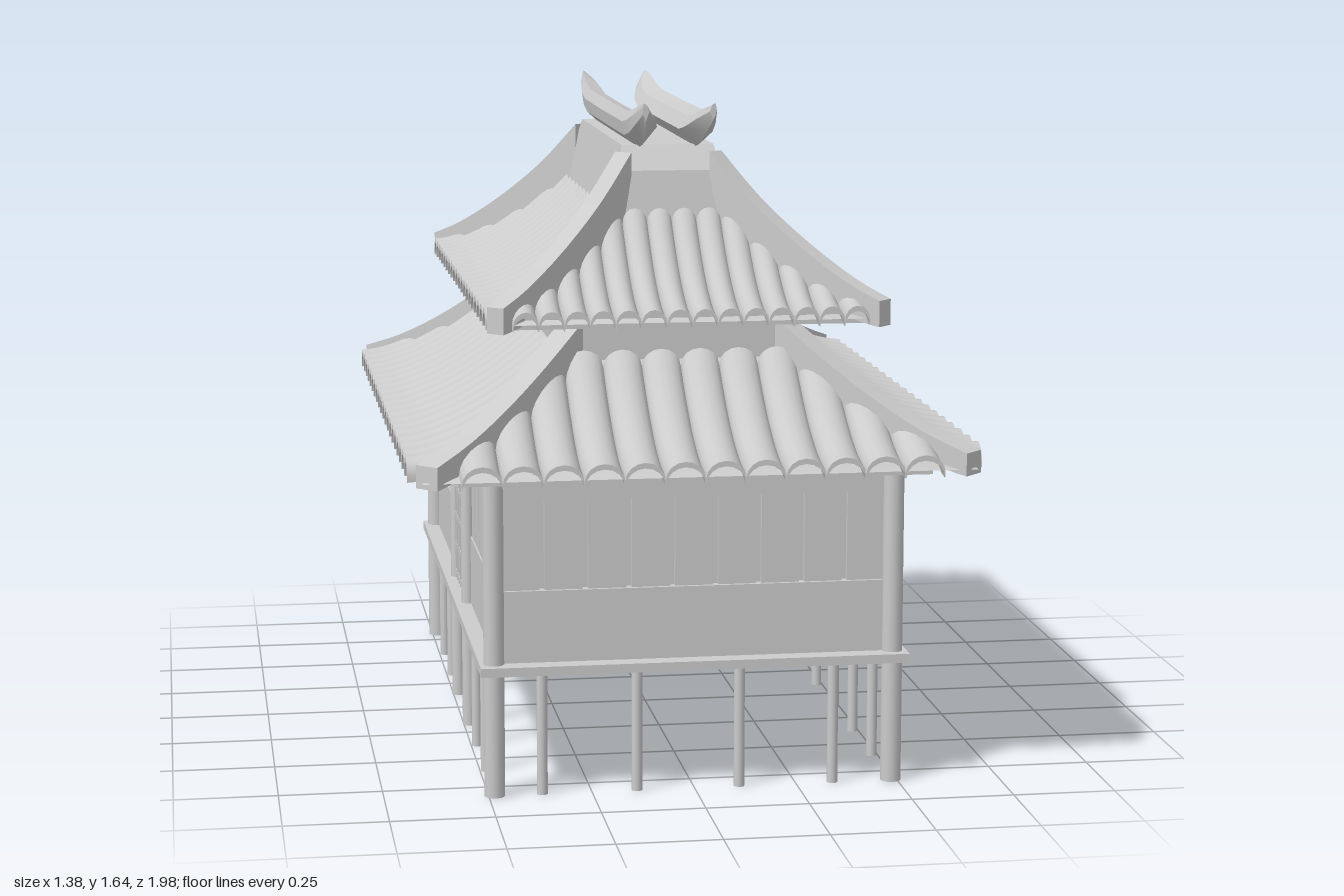
import * as THREE from 'three';
import { mergeGeometries, toCreasedNormals } from 'three/addons/utils/BufferGeometryUtils.js';

const material = new THREE.MeshStandardMaterial({ color: 0xcccccc, side: THREE.DoubleSide });
const OFFSET = 0.3; // the plan is this much deeper than wide, per side
const SIGNS = [-1, 1];

// Closed solid through equal rings of points (even count); ends are capped in strips.
function loft(rings, crease = 0.6) {
  const tris = [];
  const n = rings[0].length;
  const quad = (a, b, c, d) => tris.push([a, b, c], [a, c, d]);
  for (let i = 0; i < rings.length - 1; i++) {
    for (let j = 0; j < n; j++) {
      const k = (j + 1) % n;
      quad(rings[i][j], rings[i][k], rings[i + 1][k], rings[i + 1][j]);
    }
  }
  const last = rings[rings.length - 1];
  for (let j = 0; j < n / 2 - 1; j++) {
    quad(rings[0][j], rings[0][n - 1 - j], rings[0][n - 2 - j], rings[0][j + 1]);
    quad(last[j], last[j + 1], last[n - 2 - j], last[n - 1 - j]);
  }
  // turn the solid outward when its signed volume is negative
  const cross = new THREE.Vector3();
  const volume = tris.reduce((v, [a, b, c]) => v + a.dot(cross.crossVectors(b, c)), 0);
  const points = tris.flatMap(([a, b, c]) => (volume < 0 ? [a, c, b] : [a, b, c]));
  return toCreasedNormals(new THREE.BufferGeometry().setFromPoints(points), crease);
}

const rect = (x, y, z) => [[-x, -z], [x, -z], [x, z], [-x, z]].map(([a, b]) => new THREE.Vector3(a, y, b));

export function createModel() {
  const model = new THREE.Group();

  function add(parent, name, geometry, x = 0, y = 0, z = 0) {
    const mesh = new THREE.Mesh(geometry, material);
    mesh.name = name;
    mesh.position.set(x, y, z);
    parent.add(mesh);
    return mesh;
  }
  function group(name) {
    const g = new THREE.Group();
    g.name = name;
    model.add(g);
    return g;
  }
  const box = (parent, name, w, h, d, x, y, z) => add(parent, name, new THREE.BoxGeometry(w, h, d), x, y, z);
  const post = (parent, name, r, h, x, z) => add(parent, name, new THREE.CylinderGeometry(r, r, h, 14), x, h / 2, z);

  // Stilts and floor
  const stilts = group('stilts');
  for (const s of SIGNS) {
    for (const t of SIGNS) post(stilts, 'cornerPost', 0.025, 0.78, s * 0.485, t * 0.825);
    for (const x of [-0.37, -0.14, 0.11, 0.34]) post(stilts, 'endStilt', 0.013, 0.31, x, s * 0.825);
    for (const z of [0.607, 0.375, -0.345, -0.58]) post(stilts, 'sideStilt', 0.013, 0.31, s * 0.485, z);
  }
  for (const z of [0.14, -0.1]) post(stilts, 'sideStilt', 0.013, 0.31, 0.485, z);
  box(model, 'floor', 1.04, 0.022, 1.74, 0, 0.314, 0);

  // Walls: a recessed core, a solid lower wall and a head beam
  const walls = group('walls');
  box(walls, 'wallCore', 0.92, 0.46, 1.6, 0, 0.55, 0);
  box(walls, 'lowerWall', 0.96, 0.18, 1.65, 0, 0.41, 0);
  box(walls, 'headBeam', 0.96, 0.06, 1.65, 0, 0.75, 0);
  for (const s of SIGNS) {
    for (let i = 0; i < 9; i++) {
      box(walls, 'endShutter', 0.092, 0.22, 0.02, (i - 4) * 0.105, 0.61, s * 0.806);
    }
    for (let i = 0; i < 15; i++) {
      const z = (i - 7) * 0.108;
      if (s < 0 && z > -0.16 && z < 0.19) continue;
      box(walls, 'sideShutter', 0.02, 0.22, 0.096, s * 0.466, 0.61, z);
    }
  }

  // Lattice door between two tall posts on one long side
  const door = group('door');
  for (const z of [0.17, -0.14]) post(door, 'doorPost', 0.018, 0.78, -0.485, z);
  box(door, 'doorPanel', 0.02, 0.42, 0.28, -0.472, 0.54, 0.015);
  for (let i = 0; i < 7; i++) box(door, 'doorStile', 0.014, 0.42, 0.012, -0.486, 0.54, 0.015 + (i - 3) * 0.043);
  for (let i = 0; i < 6; i++) box(door, 'doorRail', 0.014, 0.012, 0.28, -0.486, 0.345 + i * 0.078, 0.015);

  // One hipped roof tier with barrel tiles and hip ridges
  function roofTier(name, o) {
    const tier = group(name);
    const height = (p) => o.y0 + (o.y1 - o.y0) * Math.pow(Math.max(0, (o.eave - p) / (o.eave - o.top)), o.curve);

    // solid roof bed under the tiles
    const bed = [];
    for (let i = 0; i <= 10; i++) {
      const p = THREE.MathUtils.lerp(o.eave - 0.03, o.top - 0.03, i / 10);
      bed.push(rect(p, height(p) - 0.004, p + OFFSET));
    }
    add(tier, 'roofBed', loft(bed));

    // soffit plate
    box(tier, 'soffit', o.soffit[0] * 2, 0.035, o.soffit[1] * 2, 0, o.soffit[2], 0);

    // arched tiles, each running up until it meets the top line or the hip
    const arch = [];
    for (let i = 0; i <= 8; i++) {
      const a = (Math.PI * i) / 8;
      arch.push([-Math.cos(a) / 2, Math.sin(a) * o.arch]);
    }
    const section = [...arch, ...arch.map(([u, h]) => [u * 0.98, h - 0.013]).reverse()];
    const side = (count, half, extra, out) => {
      const width = (2 * half) / count;
      const tiles = [];
      for (let c = 0; c < count; c++) {
        const mid = -half + (c + 0.5) * width;
        const rings = [];
        for (let i = 0; i <= 9; i++) {
          rings.push(section.map(([u, h]) => {
            const lateral = mid + u * width;
            const end = Math.max(o.top, Math.abs(lateral) - out);
            const p = THREE.MathUtils.lerp(o.eave, Math.min(end, o.eave - 0.03), i / 9);
            return new THREE.Vector3(lateral, height(p) + h, p + extra);
          }));
        }
        tiles.push(loft(rings));
      }
      return mergeGeometries(tiles);
    };
    const endTiles = side(o.endCount, o.endHalf, OFFSET, 0);
    const sideTiles = side(o.sideCount, o.sideHalf, 0, OFFSET);
    add(tier, 'frontTiles', endTiles);
    add(tier, 'backTiles', endTiles).rotation.y = Math.PI;
    add(tier, 'leftTiles', sideTiles).rotation.y = Math.PI / 2;
    add(tier, 'rightTiles', sideTiles).rotation.y = -Math.PI / 2;

    // hip ridges along the four diagonals
    const spine = new THREE.SplineCurve(o.hip.map(([p, y]) => new THREE.Vector2(p, y))).getPoints(12);
    const w = o.hipWidth * Math.SQRT1_2 / 2;
    for (const sx of SIGNS) {
      for (const sz of SIGNS) {
        const rings = spine.map(({ x: p, y }) => {
          const low = height(p) - 0.02;
          return [[w, y], [-w, y], [-w, low], [w, low]].map(
            ([d, h]) => new THREE.Vector3(sx * (p + d), h, sz * (p + OFFSET - d)));
        });
        add(tier, 'hipRidge', loft(rings, 0.5));
      }
    }
  }

  roofTier('lowerRoof', {
    eave: 0.69, top: 0.3, y0: 0.793, y1: 1.0, curve: 1.65, arch: 0.042,
    soffit: [0.57, 0.87, 0.783], endCount: 12, endHalf: 0.572, sideCount: 20, sideHalf: 0.87,
    hip: [[0.65, 0.833], [0.56, 0.875], [0.46, 0.94], [0.36, 1.02], [0.26, 1.11]], hipWidth: 0.065,
  });
  box(model, 'neck', 0.56, 0.14, 1.16, 0, 1.06, 0);
  roofTier('upperRoof', {
    eave: 0.49, top: 0.155, y0: 1.13, y1: 1.335, curve: 1.7, arch: 0.035,
    soffit: [0.43, 0.73, 1.132], endCount: 14, endHalf: 0.43, sideCount: 20, sideHalf: 0.735,
    hip: [[0.47, 1.175], [0.4, 1.215], [0.3, 1.295], [0.2, 1.395], [0.115, 1.505]], hipWidth: 0.05,
  });

  // Flat-topped roof crown
  add(model, 'crown', loft([rect(0.155, 1.33, 0.455), rect(0.128, 1.46, 0.43), rect(0.115, 1.52, 0.385)], 0.2));

  // Paired ridge beams with upswept tapering ends: [z, bottom, top, thickness]
  const half = [[0, 1.51, 1.6, 1], [0.36, 1.51, 1.602, 1], [0.44, 1.525, 1.612, 0.95], [0.52, 1.56, 1.628, 0.65], [0.58, 1.595, 1.638, 0.2]];
  const stations = [...half.slice(1).reverse().map(([z, ...r]) => [-z, ...r]), ...half];
  const profile = [[0.07, 0], [0.105, 0.35], [0.11, 0.72], [0.095, 1], [0.055, 0.85], [0.032, 0.5]];
  for (const s of SIGNS) {
    const rings = stations.map(([z, low, high, f]) => profile.map(
      ([x, v]) => new THREE.Vector3(s * (0.085 + (x - 0.085) * f), low + (high - low) * v, z)));
    add(model, 'ridgeBeam', loft(rings, 0.4));
  }
  return model;
}
